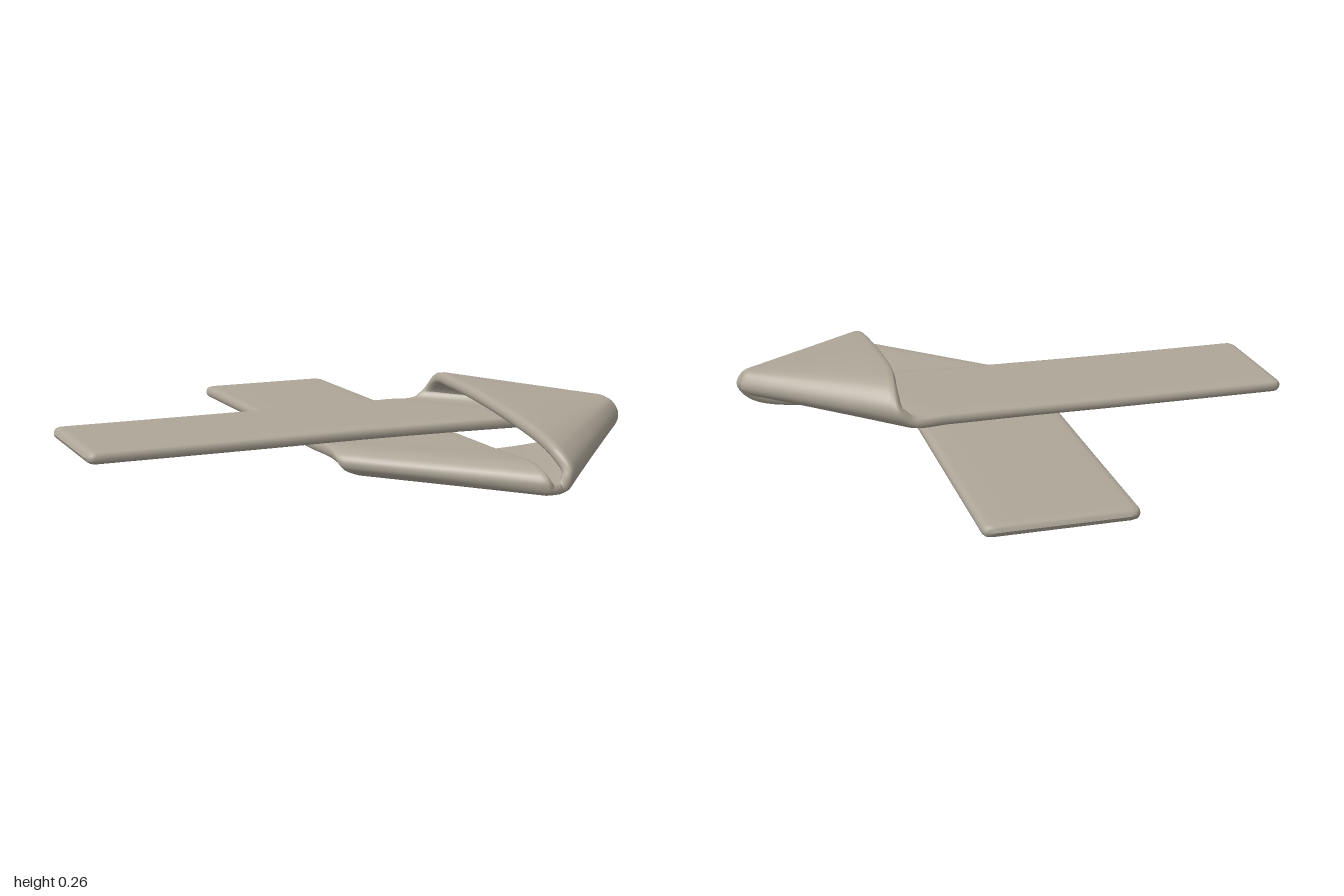
import * as THREE from 'three';

const HALF = 0.023;   // half the band's thickness
const ROUND = 0.04;   // rounding of the band's ends
const STEPS = 7;      // sections between neighbouring rulings

// Each ruling spans the band from edge A to edge B, following it through three folds
const RULINGS = [
  // upper arm
  [[-1.0, 0.135, -0.13], [-1.0, 0.135, 0.355]],
  [[-0.96, 0.135, -0.13], [-0.96, 0.135, 0.355]],
  [[-0.4, 0.135, -0.13], [-0.4, 0.135, 0.355]],
  [[0.0, 0.137, -0.13], [0.05, 0.137, 0.36]],
  [[0.28, 0.137, -0.13], [0.6, 0.137, 0.385]],
  // fold up and over
  [[0.41, 0.14, -0.13], [0.91, 0.13, 0.385]],
  [[0.458, 0.185, -0.118], [0.97, 0.155, 0.378]],
  [[0.462, 0.24, -0.05], [0.96, 0.185, 0.385]],
  // raised corner flap
  [[0.445, 0.25, 0.1], [0.957, 0.189, 0.39]],
  [[0.435, 0.215, 0.5], [0.957, 0.188, 0.395]],
  // fold down and under
  [[0.435, 0.145, 0.87], [0.962, 0.182, 0.402]],
  [[0.45, 0.085, 0.94], [0.978, 0.145, 0.41]],
  [[0.435, 0.04, 0.945], [0.93, 0.095, 0.41]],
  // bottom layer
  [[0.425, 0.033, 0.947], [0.7, 0.052, 0.41]],
  [[0.415, 0.032, 0.947], [0.2, 0.035, 0.41]],
  // fold up and back
  [[0.405, 0.034, 0.945], [-0.08, 0.036, 0.41]],
  [[0.398, 0.057, 0.937], [-0.132, 0.06, 0.41]],
  [[0.395, 0.08, 0.88], [-0.142, 0.082, 0.35]],
  // lower arm
  [[0.392, 0.081, 0.6], [-0.143, 0.081, 0.15]],
  [[0.388, 0.081, 0.2], [-0.143, 0.081, 0.0]],
  [[0.385, 0.081, -0.4], [-0.143, 0.081, -0.4]],
  [[0.382, 0.08, -0.92], [-0.145, 0.08, -0.92]],
  [[0.382, 0.08, -0.96], [-0.145, 0.08, -0.96]],
];

// Closed outline of the band: distance from an edge (or fraction across) and height
const EDGE = [[0, 0], [0.003, 0.5], [0.01, 0.82], [0.03, 1]];
const FLAT = [0.2, 0.4, 0.6, 0.8];

function outline(width) {
  const top = [
    ...EDGE.map(([d, h]) => [d / width, h]),
    ...FLAT.map((u) => [u, 1]),
    ...EDGE.slice().reverse().map(([d, h]) => [1 - d / width, h]),
  ];
  const bottom = top.slice(1, -1).reverse().map(([u, h]) => [u, -h]);
  return [...top, ...bottom];
}

function ribbonGeometry() {
  const curve = (k) => new THREE.CatmullRomCurve3(
    RULINGS.map((r) => new THREE.Vector3(...r[k])), false, 'centripetal');
  const edgeA = curve(0), edgeB = curve(1);
  const count = (RULINGS.length - 1) * STEPS;
  const rows = [];
  for (let i = 0; i <= count; i++) {
    rows.push([edgeA.getPoint(i / count), edgeB.getPoint(i / count)]);
  }

  const positions = [], indices = [];
  let ring = 0;
  rows.forEach(([a, b], i) => {
    const prev = rows[Math.max(i - 1, 0)], next = rows[Math.min(i + 1, count)];
    const across = b.clone().sub(a);
    const width = across.length();
    const dA = next[0].clone().sub(prev[0]), dB = next[1].clone().sub(prev[1]);
    // Blend each edge's direction with the other's so tight corners stay stable
    const normalOf = (d, other) =>
      across.clone().cross(d.clone().addScaledVector(other, 0.4)).normalize();
    const nA = normalOf(dA, dB), nB = normalOf(dB, dA);

    // Taper and round off both ends
    const k = Math.min(1, i / STEPS, (count - i) / STEPS);
    const f = Math.sqrt(1 - (1 - k) ** 2);
    const inset = ROUND * (1 - f) / width;

    const section = outline(width);
    ring = section.length;
    for (const [u, h] of section) {
      const v = inset + u * (1 - 2 * inset);
      const p = a.clone().lerp(b, v);
      const n = nA.clone().lerp(nB, v).normalize();
      p.addScaledVector(n, h * HALF * f);
      positions.push(p.x, p.y, p.z);
    }
  });

  for (let i = 0; i < count; i++) {
    for (let j = 0; j < ring; j++) {
      const j2 = (j + 1) % ring;
      const p = i * ring + j, q = i * ring + j2;
      indices.push(p, q, p + ring, q, q + ring, p + ring);
    }
  }
  const geometry = new THREE.BufferGeometry();
  geometry.setAttribute('position', new THREE.Float32BufferAttribute(positions, 3));
  geometry.setIndex(indices);
  geometry.computeVertexNormals();
  return geometry;
}

export function createModel() {
  const group = new THREE.Group();
  group.name = 'foldedBand';
  const material = new THREE.MeshStandardMaterial({ color: 0xaea698 });
  material.name = 'warm grey';
  material.side = THREE.DoubleSide;
  const ribbon = new THREE.Mesh(ribbonGeometry(), material);
  ribbon.name = 'ribbon';
  group.add(ribbon);
  return group;
}
